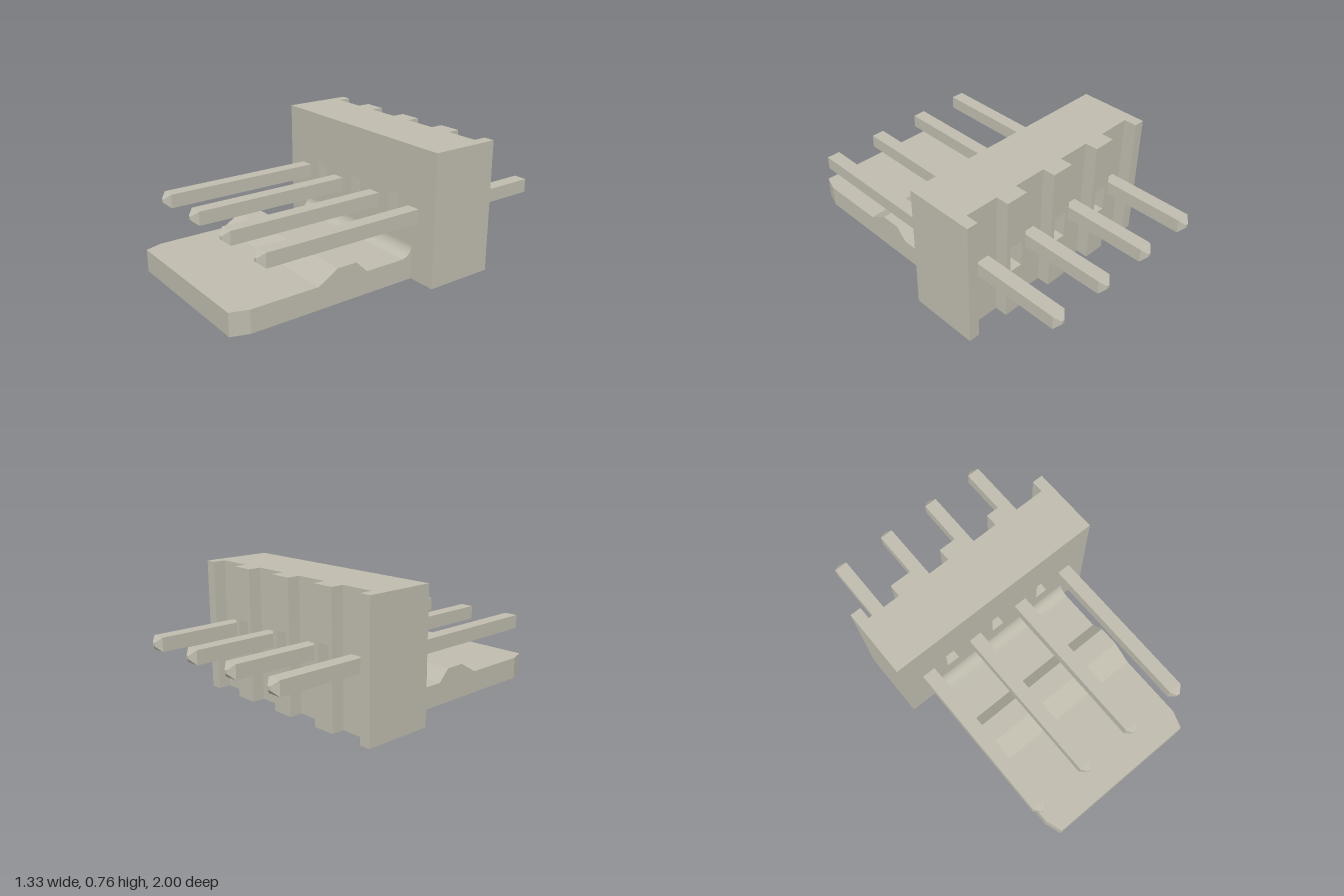
import * as THREE from 'three';
import { toCreasedNormals } from 'three/addons/utils/BufferGeometryUtils.js';

const PITCH = 1 / 3;
const BACK = -0.53, CHANNEL = -0.455, FRONT = -0.12; // depths of the wall

function rectangle(PathType, x0, x1, y0, y1) {
  const p = new PathType();
  p.moveTo(x0, y0);
  p.lineTo(x1, y0);
  p.lineTo(x1, y1);
  p.lineTo(x0, y1);
  p.closePath();
  return p;
}

// Upright slab with a rectangular window at each given x
function slab(x0, x1, z0, z1, windows) {
  const shape = rectangle(THREE.Shape, x0, x1, 0, 0.76);
  for (const x of windows) shape.holes.push(rectangle(THREE.Path, x - 0.04, x + 0.04, 0.3, 0.46));
  return new THREE.ExtrudeGeometry(shape, { depth: z1 - z0, bevelEnabled: false }).translate(0, 0, z0);
}

// Square pyramid frustum along +z, from half width 0.04 down to 0.01
function tip(length) {
  return new THREE.CylinderGeometry(0.01 * Math.SQRT2, 0.04 * Math.SQRT2, length, 4)
    .rotateY(Math.PI / 4)
    .rotateX(Math.PI / 2)
    .translate(0, 0, length / 2)
    .toNonIndexed();
}

export function createModel() {
  const model = new THREE.Group();
  model.name = 'pinHeader';
  const beige = new THREE.MeshStandardMaterial({ color: 0xbfbcae });
  beige.name = 'beige';

  const add = (name, geometry, parent = model) => {
    const mesh = new THREE.Mesh(geometry, beige);
    mesh.name = name;
    parent.add(mesh);
    return mesh;
  };

  // Wall with three windows, and ribs on its back
  add('wall', slab(-0.665, 0.665, CHANNEL, FRONT, [-PITCH, 0, PITCH]));
  for (const x of [-PITCH, 0, PITCH]) add('rib', slab(x - 0.067, x + 0.067, BACK, CHANNEL, [x]));
  add('endRib', slab(-0.665, -0.6, BACK, CHANNEL, []));
  add('endRib', slab(0.6, 0.665, BACK, CHANNEL, []));

  // Locking tongue: side profile (z, y) with a ridge and a fillet at the wall
  const profile = new THREE.Shape();
  profile.moveTo(FRONT, 0);
  profile.lineTo(0.9, 0);
  profile.lineTo(0.9, 0.13);
  profile.lineTo(0.5, 0.13);
  profile.lineTo(0.38, 0.2);
  profile.lineTo(0.26, 0.2);
  profile.lineTo(0.19, 0.13);
  profile.lineTo(-0.05, 0.13);
  profile.absarc(-0.05, 0.2, 0.07, -Math.PI / 2, -Math.PI, true);
  profile.closePath();
  const tongue = new THREE.ExtrudeGeometry(profile, { depth: 0.99, bevelEnabled: false, curveSegments: 12 });
  tongue.rotateY(-Math.PI / 2).translate(0.495, 0, 0);
  add('tongue', toCreasedNormals(tongue, 0.4));

  // Tongue nose with cut corners, drawn in plan (x, -z)
  const plan = new THREE.Shape([[-0.46, -1], [0.46, -1], [0.495, -0.9], [-0.495, -0.9]]
    .map(([x, y]) => new THREE.Vector2(x, y)));
  add('tongueNose', new THREE.ExtrudeGeometry(plan, { depth: 0.13, bevelEnabled: false }).rotateX(-Math.PI / 2));

  // Four square pins with pointed ends
  for (let i = 0; i < 4; i++) {
    const pin = new THREE.Group();
    pin.name = 'pin';
    pin.position.set((i - 1.5) * PITCH, 0.38, 0);
    add('pinShaft', new THREE.BoxGeometry(0.08, 0.08, 1.8).translate(0, 0, -0.07), pin);
    const frontTip = tip(0.035);
    frontTip.computeVertexNormals();
    add('pinFrontTip', frontTip, pin).position.z = 0.83;
    const backTip = tip(0.03);
    backTip.rotateY(Math.PI).computeVertexNormals();
    add('pinBackTip', backTip, pin).position.z = -0.97;
    model.add(pin);
  }
  return model;
}
